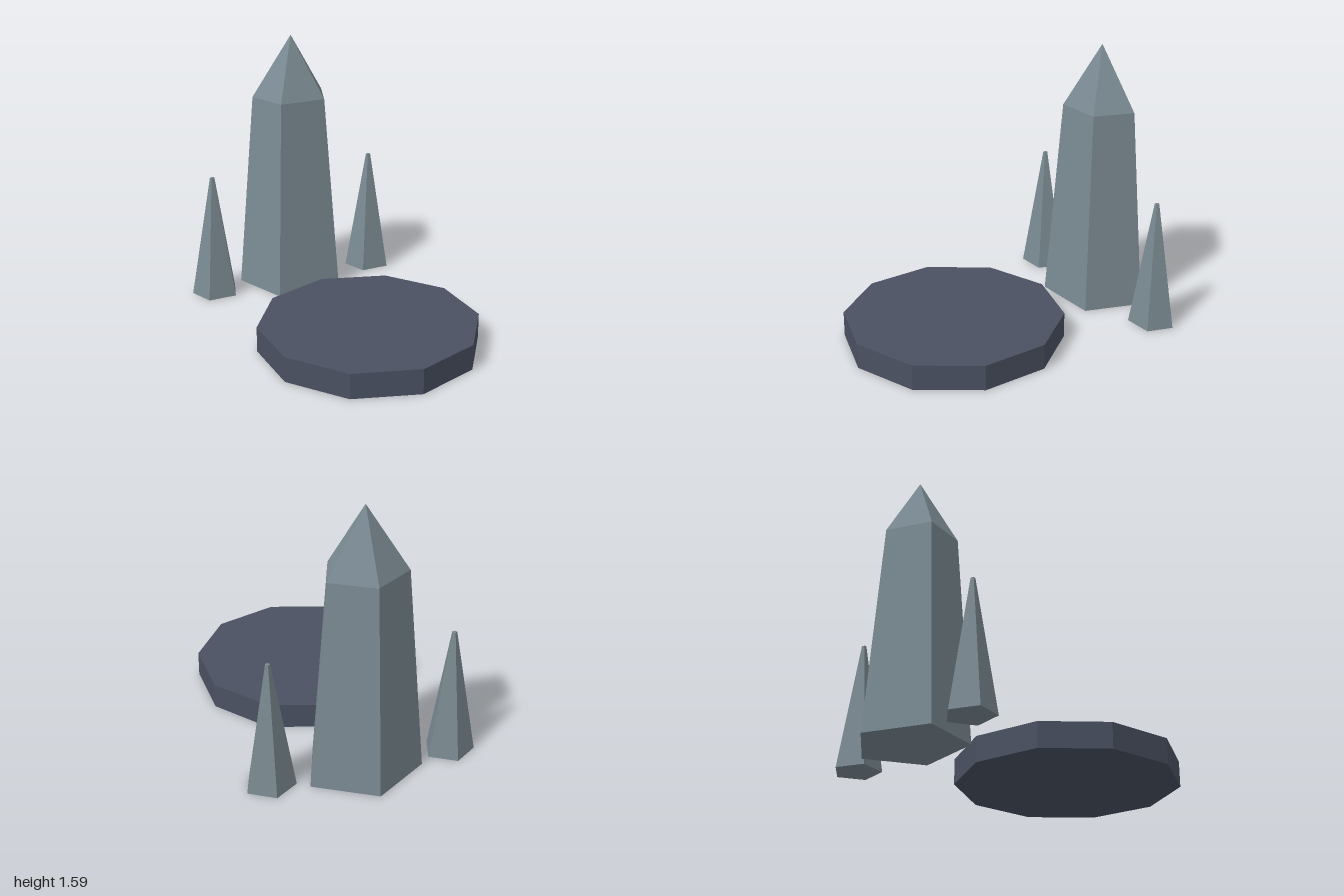
import * as THREE from 'three';

const stone = new THREE.MeshStandardMaterial({ color: 0x7a8a92, flatShading: true });
stone.name = 'paleStone';
const slate = new THREE.MeshStandardMaterial({ color: 0x4a5162, flatShading: true });
slate.name = 'darkSlate';

// Faceted, tapered prism standing on height y; a corner points to the back.
function prism(name, material, sides, rTop, rBottom, y, height, open = false) {
  const geometry = new THREE.CylinderGeometry(rTop, rBottom, height, sides, 1, open);
  geometry.rotateY(Math.PI);
  geometry.translate(0, y + height / 2, 0);
  const mesh = new THREE.Mesh(geometry, material);
  mesh.name = name;
  return mesh;
}

export function createModel() {
  const model = new THREE.Group();
  model.name = 'stoneShrine';

  // Ten-sided platform at the front
  const platform = prism('platform', slate, 10, 0.64, 0.64, 0, 0.15);
  platform.position.z = 0.36;
  model.add(platform);

  // Large five-sided obelisk, slightly wider than deep
  const obelisk = new THREE.Group();
  obelisk.name = 'obelisk';
  obelisk.add(
    prism('obeliskShaft', stone, 5, 0.21, 0.3, 0, 1.21),
    prism('obeliskTip', stone, 5, 0, 0.21, 1.21, 0.375, true),
  );
  obelisk.scale.x = 1.15;
  obelisk.position.z = -0.7;
  model.add(obelisk);

  // Slender spires on both sides
  for (const side of [-1, 1]) {
    const spire = prism(side > 0 ? 'leftSpire' : 'rightSpire', stone, 5, 0.0135, 0.134, 0, 0.757);
    spire.scale.x = 1.1;
    spire.position.set(side * 0.53, 0, -0.7);
    model.add(spire);
  }

  return model;
}
